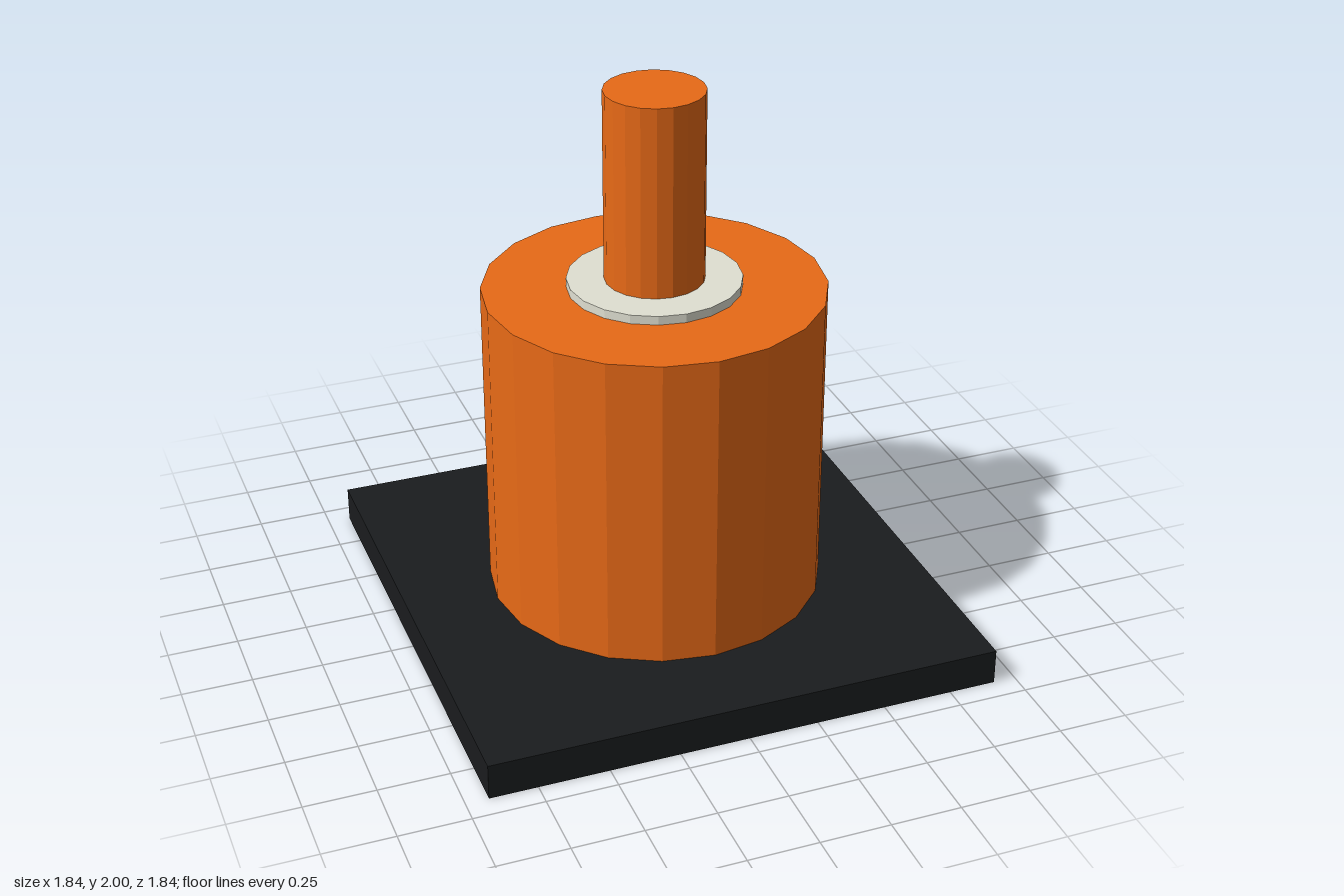
import * as THREE from 'three';

const SIDES = 20;

function material(color) {
  return new THREE.MeshStandardMaterial({ color, flatShading: true });
}

// Upright faceted cylinder standing between two heights
function drum(name, radius, bottom, top, mat) {
  const geometry = new THREE.CylinderGeometry(radius, radius, top - bottom, SIDES);
  const mesh = new THREE.Mesh(geometry, mat);
  mesh.name = name;
  mesh.position.y = (bottom + top) / 2;
  return mesh;
}

export function createModel() {
  const model = new THREE.Group();
  model.name = 'bollard';

  const orange = material(0xe86a17);
  const black = material(0x1a1c1e);
  const offWhite = material(0xe0e0d2);

  // Square base plate
  const base = new THREE.Mesh(new THREE.BoxGeometry(1.84, 0.13, 1.84), black);
  base.name = 'basePlate';
  base.position.y = 0.065;
  model.add(base);

  // Wide body, thin collar and narrow post
  model.add(
    drum('body', 0.6, 0.13, 1.28, orange),
    drum('collar', 0.305, 1.28, 1.312, offWhite),
    drum('post', 0.175, 1.312, 2, orange)
  );

  return model;
}
